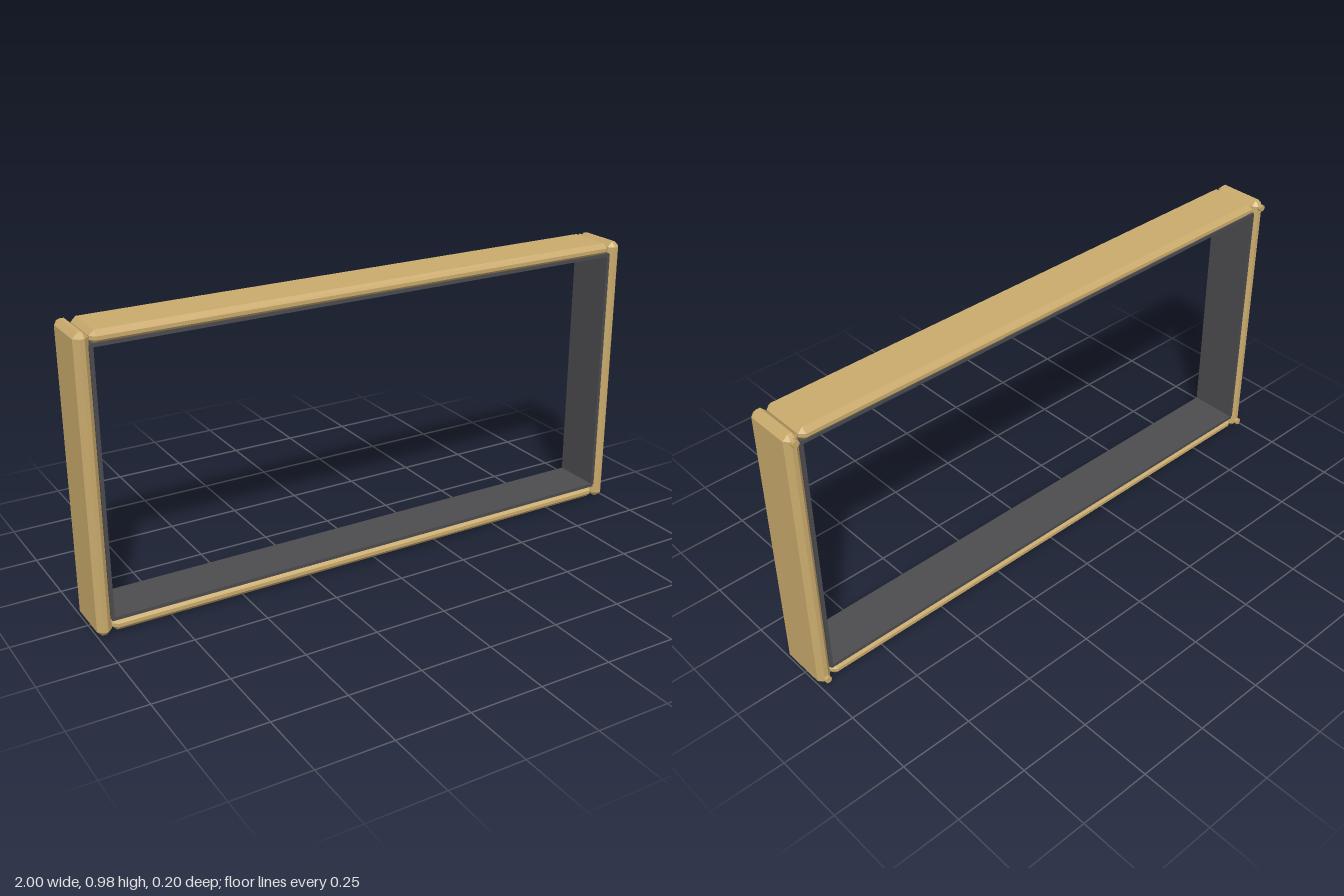
import * as THREE from 'three';
import { ConvexGeometry } from 'three/addons/geometries/ConvexGeometry.js';

// Box with all edges and corners bevelled flat by c
function bevelBox(w, h, d, c) {
  const points = [];
  for (const sx of [-1, 1]) for (const sy of [-1, 1]) for (const sz of [-1, 1]) {
    const [x, y, z] = [w / 2, h / 2, d / 2];
    points.push(
      new THREE.Vector3(sx * x, sy * (y - c), sz * (z - c)),
      new THREE.Vector3(sx * (x - c), sy * y, sz * (z - c)),
      new THREE.Vector3(sx * (x - c), sy * (y - c), sz * z),
    );
  }
  return new ConvexGeometry(points);
}

export function createModel() {
  const model = new THREE.Group();
  model.name = 'openFrame';
  const gold = new THREE.MeshStandardMaterial({ name: 'gold', color: 0xc9aa6c });
  const charcoal = new THREE.MeshStandardMaterial({ name: 'charcoal', color: 0x4c4b4f });

  const height = 0.98, mid = height / 2;
  const depth = 0.186, zMid = 0.006;

  function add(name, geometry, material, x, y, z) {
    const mesh = new THREE.Mesh(geometry, material);
    mesh.name = name;
    mesh.position.set(x, y, z);
    model.add(mesh);
    return mesh;
  }

  const post = bevelBox(0.048, height, depth, 0.017);
  const rail = bevelBox(1.9, 0.044, depth - 0.004, 0.016);
  const sideLining = new THREE.BoxGeometry(0.012, 0.885, 0.172);
  const railLining = new THREE.BoxGeometry(1.9, 0.012, 0.172);
  const peg = new THREE.CylinderGeometry(0.012, 0.012, 0.022, 8).rotateX(Math.PI / 2);

  // Upright posts, their inner lining and the rear pegs
  for (const s of [-1, 1]) {
    const side = s > 0 ? 'left' : 'right';
    add(side + 'Post', post, gold, s * 0.976, mid, zMid);
    add(side + 'Lining', sideLining, charcoal, s * 0.949, 0.4965, zMid);
    for (const [end, y] of [['Lower', 0.026], ['Upper', 0.958]]) {
      add(side + end + 'Peg', peg, gold, s * 0.976, y, -0.087);
    }
  }

  // Top and bottom rails with their inner lining
  add('topRail', rail, gold, 0, height - 0.022, zMid);
  add('topLining', railLining, charcoal, 0, 0.938, zMid);
  add('bottomRail', rail, gold, 0, 0.028, zMid);
  add('bottomLining', railLining, charcoal, 0, 0.052, zMid);

  return model;
}
